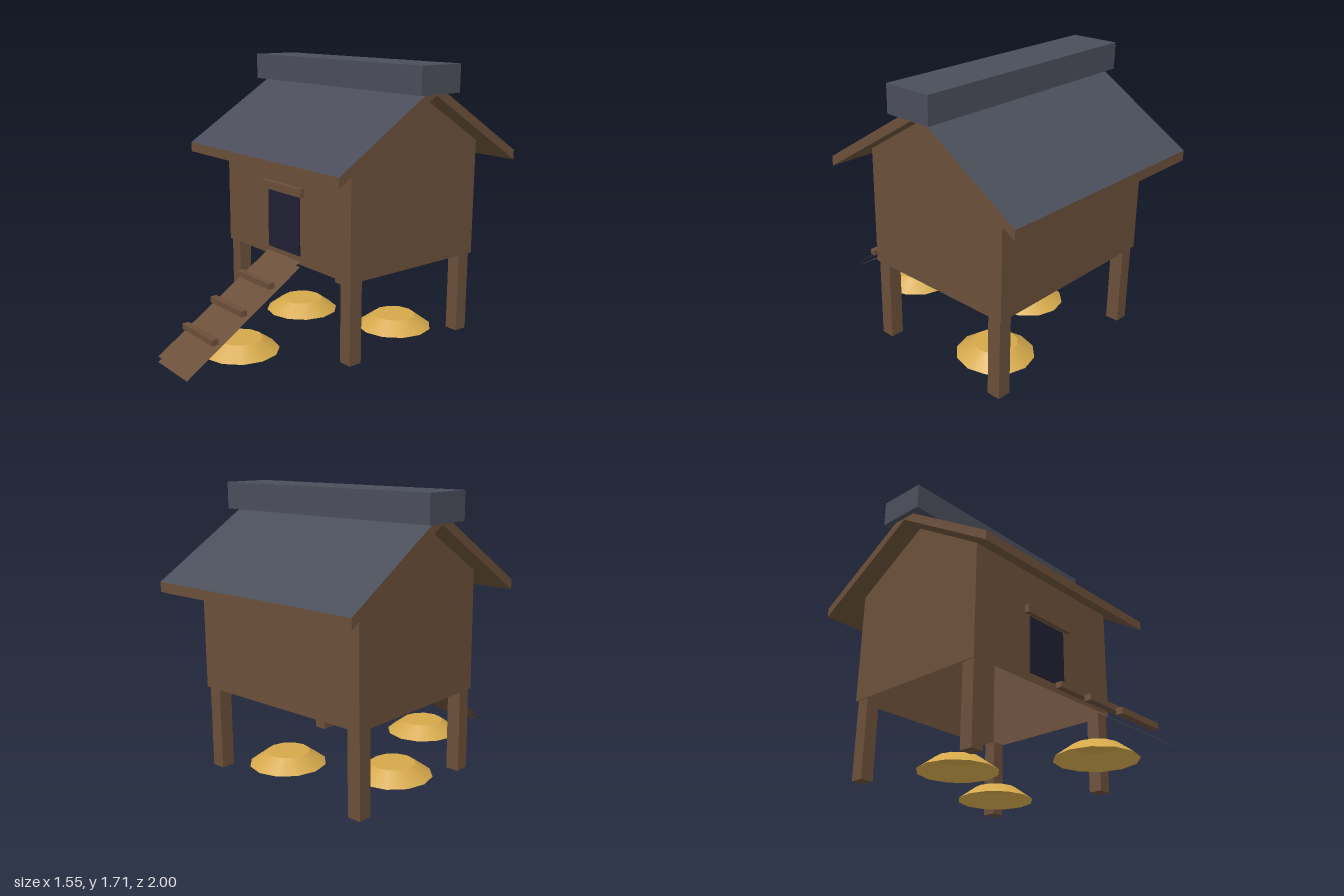
import * as THREE from 'three';

const mat = (name, color, side = THREE.DoubleSide) => {
  const m = new THREE.MeshStandardMaterial({ color, side });
  m.name = name;
  return m;
};

// Flat-faced geometry from polygons, each fanned from its first corner
function faces(polys) {
  const pos = [];
  for (const p of polys)
    for (let i = 1; i < p.length - 1; i++) pos.push(...p[0], ...p[i], ...p[i + 1]);
  const g = new THREE.BufferGeometry();
  g.setAttribute('position', new THREE.Float32BufferAttribute(pos, 3));
  g.computeVertexNormals();
  return g;
}

// Prism along x from a [z, y] profile, with only the listed sides built
function prism(profile, half, sides, caps) {
  const at = (x, [z, y]) => [x, y, z];
  const polys = sides.map((i) => {
    const a = profile[i], b = profile[(i + 1) % profile.length];
    return [at(half, a), at(-half, a), at(-half, b), at(half, b)];
  });
  if (caps) {
    const [first, ...rest] = profile;
    polys.push(profile.map((p) => at(half, p)));
    polys.push([first, ...rest.reverse()].map((p) => at(-half, p)));
  }
  return faces(polys);
}

export function createModel() {
  const model = new THREE.Group();
  model.name = 'henHouse';
  const wood = mat('brown wood', 0x6b4f3a);
  const slate = mat('grey roofing', 0x4a4e5a);
  const dark = mat('dark doorway', 0x1f1f33);
  const straw = mat('golden straw', 0xd4a84b);

  const add = (name, geometry, material, x = 0, y = 0, z = 0) => {
    const m = new THREE.Mesh(geometry, material);
    m.name = name;
    m.position.set(x, y, z);
    model.add(m);
    return m;
  };
  const box = (name, material, w, h, d, x, y, z) =>
    add(name, new THREE.BoxGeometry(w, h, d), material, x, y, z);

  // Gabled walls, open underneath
  const wall = [[0.2, 0.515], [-0.8, 0.515], [-0.8, 1.23], [-0.3, 1.54], [0.2, 1.23]];
  add('walls', prism(wall, 0.61, [1, 4], true), wood);

  // Roof: wooden soffit, eaves and ends, with grey slopes on top
  const roof = [[-0.3, 1.54], [-1, 1.105], [-1, 1.165], [-0.3, 1.6], [0.4, 1.165], [0.4, 1.105]];
  add('roofSlopes', prism([...roof], 0.743, [2, 3], false), slate);
  add('roofBoards', prism([...roof], 0.743, [0, 1, 4, 5], true), wood);
  box('ridgeCap', slate, 1.55, 0.162, 0.305, 0, 1.63, -0.3);

  // Doorway and lintel
  box('doorway', dark, 0.31, 0.36, 0.009, 0, 0.75, 0.2055);
  box('lintel', wood, 0.395, 0.05, 0.028, 0, 0.963, 0.22);

  // Legs
  for (const x of [-0.557, 0.557])
    for (const z of [-0.743, 0.147]) box('leg', wood, 0.085, 0.5, 0.085, x, 0.265, z);

  // Ramp: two parallel sheets with open edges, and three treads
  const sheet = (y) => faces([[[-0.165, y, 1], [0.165, y, 1], [0.165, y + 0.505, 0.21], [-0.165, y + 0.505, 0.21]]]);
  add('rampTop', sheet(0.035), wood);
  add('rampUnderside', sheet(0), wood);
  for (let i = 0; i < 3; i++)
    box('rampTread', wood, 0.33, 0.035, 0.042, 0, 0.181 + i * 0.125, 0.811 - i * 0.195);

  // Straw piles: frustums with a flat top and open base
  for (const [x, z] of [[0, 0.537], [-0.33, -0.183], [0.28, -0.463]]) {
    add('strawPile', new THREE.CylinderGeometry(0.134, 0.237, 0.075, 12, 1, true), straw, x, 0.054, z);
    add('strawTop', new THREE.CircleGeometry(0.134, 12).rotateX(-Math.PI / 2), straw, x, 0.0915, z);
  }
  return model;
}
